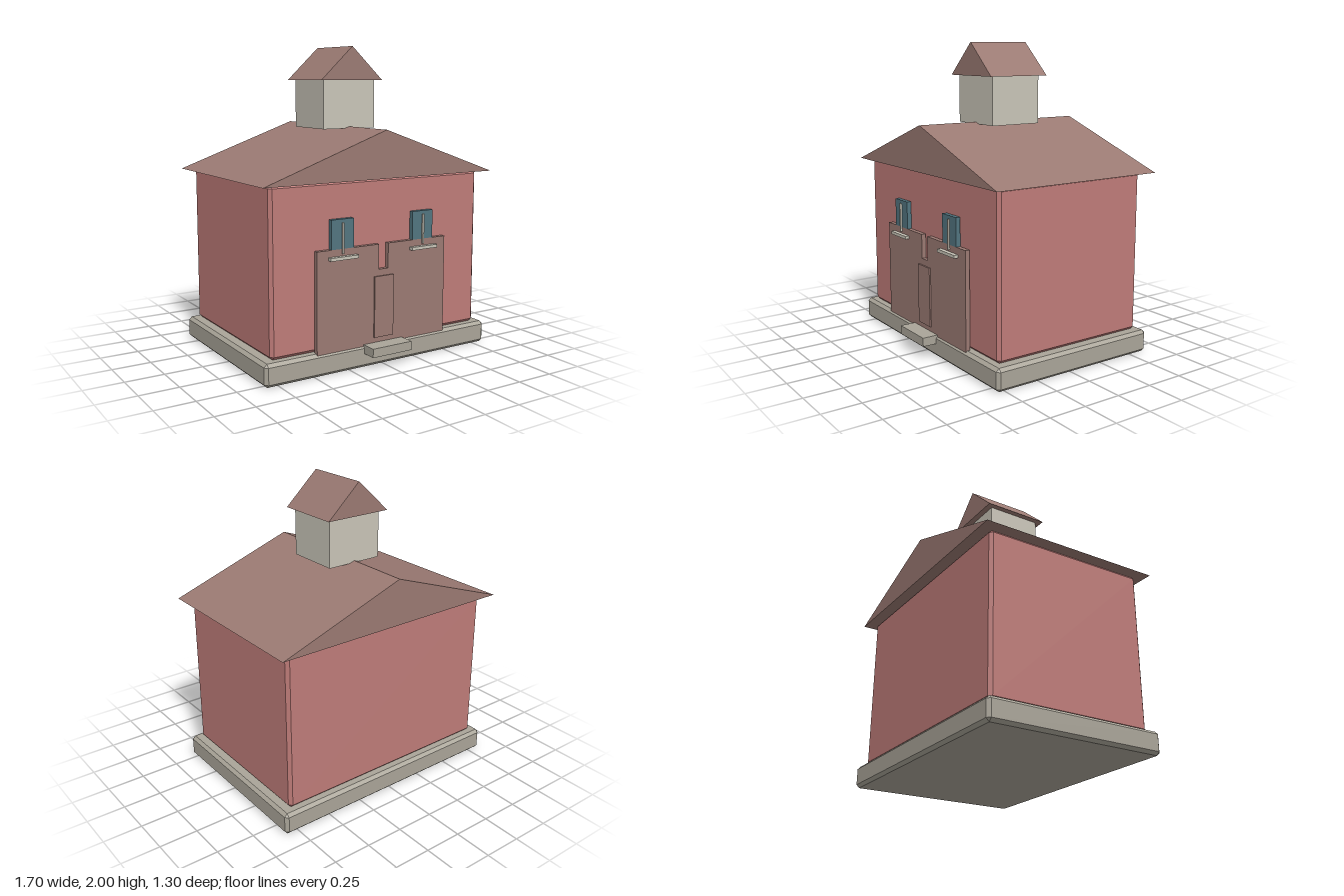
import * as THREE from 'three';
import { ConvexGeometry } from 'three/addons/geometries/ConvexGeometry.js';

const mat = (name, color) => {
  const m = new THREE.MeshStandardMaterial({ color });
  m.name = name;
  return m;
};

// Box with chamfered edges, given its limits on each axis
function chamferedBox([x0, x1], [y0, y1], [z0, z1], c) {
  const half = [(x1 - x0) / 2, (y1 - y0) / 2, (z1 - z0) / 2];
  const points = [];
  for (const sx of [-1, 1]) for (const sy of [-1, 1]) for (const sz of [-1, 1]) {
    for (let full = 0; full < 3; full++) {
      const p = half.map((h, i) => (i === full ? h : h - c));
      points.push(new THREE.Vector3(sx * p[0], sy * p[1], sz * p[2]));
    }
  }
  return new ConvexGeometry(points).translate((x0 + x1) / 2, (y0 + y1) / 2, (z0 + z1) / 2);
}

function box([x0, x1], [y0, y1], [z0, z1]) {
  return new THREE.BoxGeometry(x1 - x0, y1 - y0, z1 - z0)
    .translate((x0 + x1) / 2, (y0 + y1) / 2, (z0 + z1) / 2);
}

// Outline in the front plane, extruded between two z positions
function prism(points, z0, z1) {
  const shape = new THREE.Shape(points.map(([x, y]) => new THREE.Vector2(x, y)));
  return new THREE.ExtrudeGeometry(shape, { depth: z1 - z0, bevelEnabled: false }).translate(0, 0, z0);
}

export function createModel() {
  const red = mat('red wall', 0xbf7c79);
  const brown = mat('brown roof', 0x9b7a73);
  const stone = mat('grey stone', 0xaaa599);
  const cream = mat('cream trim', 0xc9c5b8);
  const blue = mat('blue glass', 0x527580);

  const model = new THREE.Group();
  model.name = 'schoolhouse';
  const add = (name, geometry, material, parent = model) => {
    const mesh = new THREE.Mesh(geometry, material);
    mesh.name = name;
    parent.add(mesh);
  };

  // Main building
  add('foundation', chamferedBox([-0.84, 0.84], [0, 0.145], [-0.63, 0.555], 0.02), stone);
  add('walls', chamferedBox([-0.78, 0.78], [0.145, 1.188], [-0.585, 0.51], 0.02), red);
  add('mainRoof', prism([[-0.85, 1.185], [0.85, 1.185], [0, 1.485]], -0.65, 0.57), brown);

  // Bell tower
  add('tower', box([-0.195, 0.195], [1.472, 1.785], [-0.218, 0.145]), cream);
  add('towerRoof', prism([[-0.232, 1.785], [0.232, 1.785], [0, 2]], -0.257, 0.183), brown);

  // Entrance: notched front panel, door and step
  add('frontPanel', prism([
    [-0.485, 0.13], [0.485, 0.13], [0.485, 0.775], [0.035, 0.775],
    [0.035, 0.615], [-0.035, 0.615], [-0.035, 0.775], [-0.485, 0.775],
  ], 0.515, 0.545), brown);
  add('door', box([-0.072, 0.072], [0.18, 0.573], [0.54, 0.555]), brown);
  add('step', box([-0.147, 0.147], [0.09, 0.147], [0.54, 0.65]), stone);

  // Windows, one on each side of the door
  for (const [side, x] of [['left', 0.303], ['right', -0.303]]) {
    const win = new THREE.Group();
    win.name = side + 'Window';
    win.position.x = x;
    add('glass', box([-0.08, 0.08], [0.775, 0.958], [0.515, 0.545]), blue, win);
    add('mullion', box([-0.006, 0.006], [0.745, 0.937], [0.54, 0.557]), cream, win);
    add('sill', box([-0.1, 0.1], [0.712, 0.732], [0.54, 0.573]), cream, win);
    model.add(win);
  }
  return model;
}
